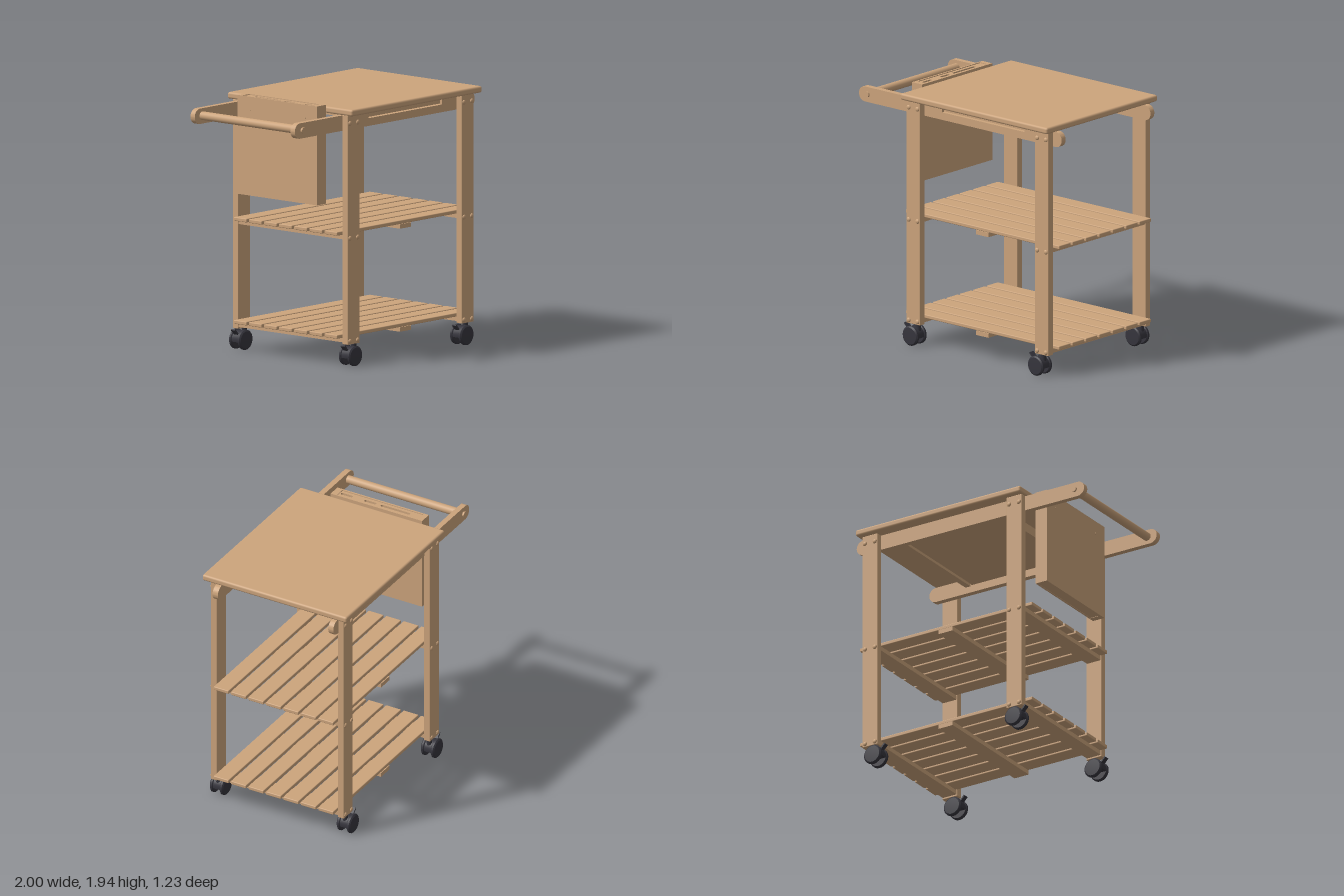
import * as THREE from 'three';
import { toCreasedNormals } from 'three/addons/utils/BufferGeometryUtils.js';
import { RoundedBoxGeometry } from 'three/addons/geometries/RoundedBoxGeometry.js';

const wood = new THREE.MeshStandardMaterial({ color: 0xcca47c });
wood.name = 'wood';
const rubber = new THREE.MeshStandardMaterial({ color: 0x36353d });
rubber.name = 'darkPlastic';

const FRONT = 0.5325, BACK = -0.55, MID = -0.009; // leg planes and centre line in z
const LEG_X = [-0.4125, 0.855];

function add(parent, name, geometry, material = wood) {
  const mesh = new THREE.Mesh(geometry, material);
  mesh.name = name;
  parent.add(mesh);
  return mesh;
}

// Box given by its lower and upper limits on each axis
function box(parent, name, [x0, x1], [y0, y1], [z0, z1], round = 0) {
  const s = [x1 - x0, y1 - y0, z1 - z0];
  const g = round ? new RoundedBoxGeometry(...s, 2, round) : new THREE.BoxGeometry(...s);
  g.translate((x0 + x1) / 2, (y0 + y1) / 2, (z0 + z1) / 2);
  return add(parent, name, g);
}

function cylinderZ(parent, name, r, x, y, z0, z1, material = wood) {
  const g = new THREE.CylinderGeometry(r, r, z1 - z0, 24).rotateX(Math.PI / 2);
  return add(parent, name, g.translate(x, y, (z0 + z1) / 2), material);
}

function rectPath(path, x0, x1, y0, y1) {
  path.moveTo(x0, y0).lineTo(x1, y0).lineTo(x1, y1).lineTo(x0, y1).closePath();
  return path;
}

function extrude(shape, depth) {
  const g = new THREE.ExtrudeGeometry(shape, { depth, bevelEnabled: false, curveSegments: 12 });
  return toCreasedNormals(g, 0.6);
}

// Long side rail with round ends, optionally cut for the pull-out board
function rail(parent, name, z0, z1, slotted) {
  const r = 0.0575, y = 1.815, s = new THREE.Shape();
  s.moveTo(-1 + r, y - r).lineTo(1 - r, y - r);
  s.absarc(1 - r, y, r, -Math.PI / 2, Math.PI / 2, false);
  s.lineTo(-1 + r, y + r);
  s.absarc(-1 + r, y, r, Math.PI / 2, Math.PI * 1.5, false);
  if (slotted) s.holes.push(rectPath(new THREE.Path(), -0.18, 0.635, 1.815, 1.867));
  add(parent, name, extrude(s, z1 - z0).translate(0, 0, z0));
}

// Slatted shelf on three cross bars; y is the underside of the slats
function shelf(parent, name, y) {
  const g = new THREE.Group();
  g.name = name;
  for (let i = 0; i < 7; i++) {
    const z = MID + (i - 3) * 0.149;
    box(g, 'slat', [-0.535, 0.98], [y, y + 0.028], [z - 0.064, z + 0.064], 0.006);
  }
  for (const x of LEG_X) box(g, 'endBar', [x - 0.06, x + 0.06], [y - 0.033, y], [-0.525, 0.506]);
  box(g, 'middleBar', [0.16, 0.285], [y - 0.033, y], [-0.525, 0.506]);
  parent.add(g);
}

// Leg with pairs of domed bolt heads on its outer face
function leg(parent, x, z) {
  const g = new THREE.Group();
  g.name = 'leg';
  box(g, 'post', [x - 0.067, x + 0.067], [0.162, 1.877], [z - 0.0265, z + 0.0265], 0.004);
  const side = Math.sign(z);
  for (const y of [0.187, 0.957, 1.817]) for (const dx of [-0.043, 0.043]) {
    const head = new THREE.SphereGeometry(0.018, 16, 6, 0, Math.PI * 2, 0, Math.PI / 2);
    head.scale(1, 0.6, 1).rotateX(side * Math.PI / 2);
    add(g, 'boltHead', head.translate(x + dx, y, z + side * 0.0265));
  }
  parent.add(g);
}

// Twin-wheel caster with a hood, stem and brake lever
function caster(parent, x, z) {
  const g = new THREE.Group();
  g.name = 'caster';
  const profile = [[0, -0.016], [0.066, -0.016], [0.075, -0.008], [0.075, 0.006], [0.064, 0.015], [0, 0.018]]
    .map(([r, h]) => new THREE.Vector2(r, h));
  for (const side of [-1, 1]) {
    const wheel = toCreasedNormals(new THREE.LatheGeometry(profile, 28), 0.5);
    wheel.rotateX(side * Math.PI / 2).translate(0, 0.075, side * 0.043);
    add(g, 'wheel', wheel, rubber);
  }
  const hood = new THREE.Shape();
  hood.absarc(0, 0.075, 0.068, -0.2, Math.PI + 0.2, false);
  hood.closePath();
  add(g, 'hood', extrude(hood, 0.06).translate(0, 0, -0.03), rubber);
  add(g, 'stem', new THREE.CylinderGeometry(0.02, 0.02, 0.07, 20).translate(0.037, 0.132, 0), rubber);
  const lever = new THREE.BoxGeometry(0.06, 0.012, 0.04).rotateZ(-0.8).translate(-0.065, 0.135, 0);
  add(g, 'brakeLever', lever, rubber);
  g.position.set(x, 0, z);
  parent.add(g);
}

// Upright knife holder: open case with a slotted insert just below the rim
function knifeBlock(parent) {
  const g = new THREE.Group();
  g.name = 'knifeBlock';
  const upright = (shape, y0, y1) => extrude(shape, y1 - y0).rotateX(-Math.PI / 2).translate(0, y0, 0);
  const wall = rectPath(new THREE.Shape(), -0.6, -0.5, -0.36, 0.42);
  wall.holes.push(rectPath(new THREE.Path(), -0.586, -0.512, -0.31, 0.38));
  add(g, 'case', upright(wall, 1.2, 1.94));
  const insert = rectPath(new THREE.Shape(), -0.586, -0.512, -0.31, 0.38);
  for (const [z0, z1] of [[-0.29, -0.04], [0, 0.1], [0.2, 0.3]]) {
    const r = 0.012, x = -0.549, slot = new THREE.Path();
    slot.absarc(x, -z0 - r, r, 0, Math.PI, false);
    slot.absarc(x, -z1 + r, r, Math.PI, Math.PI * 2, false);
    slot.closePath();
    insert.holes.push(slot);
  }
  add(g, 'slottedInsert', upright(insert, 1.6, 1.934));
  box(g, 'floor', [-0.587, -0.511], [1.203, 1.23], [-0.381, 0.311]);
  for (const z of [-0.3, 0.24]) {
    const screw = new THREE.CylinderGeometry(0.008, 0.008, 0.006, 12).rotateZ(Math.PI / 2);
    add(g, 'screw', screw.translate(-0.601, 1.84, z));
  }
  parent.add(g);
}

export function createModel() {
  const cart = new THREE.Group();
  cart.name = 'kitchenCart';

  box(cart, 'tableTop', [-0.493, 0.957], [1.877, 1.927], [-0.62, 0.613], 0.016);

  // Side rails, cross battens and the pull-out board
  rail(cart, 'frontRail', 0.453, 0.498, true);
  rail(cart, 'backRail', -0.532, -0.489, false);
  for (const x of [-0.205, 0.66]) box(cart, 'batten', [x - 0.022, x + 0.022], [1.808, 1.877], [-0.489, 0.453]);
  box(cart, 'pullOutBoard', [-0.175, 0.63], [1.822, 1.863], [-0.47, 0.485]);

  // Push handle between the rail ends
  cylinderZ(cart, 'handleRod', 0.032, -0.915, 1.817, -0.49, 0.455);
  cylinderZ(cart, 'handlePeg', 0.021, -0.915, 1.817, -0.546, 0.513);

  shelf(cart, 'middleShelf', 0.979);
  shelf(cart, 'lowerShelf', 0.208);

  for (const x of LEG_X) for (const z of [FRONT, BACK]) {
    leg(cart, x, z);
    caster(cart, x < 0 ? -0.42 : 0.817, z);
  }

  knifeBlock(cart);
  return cart;
}
